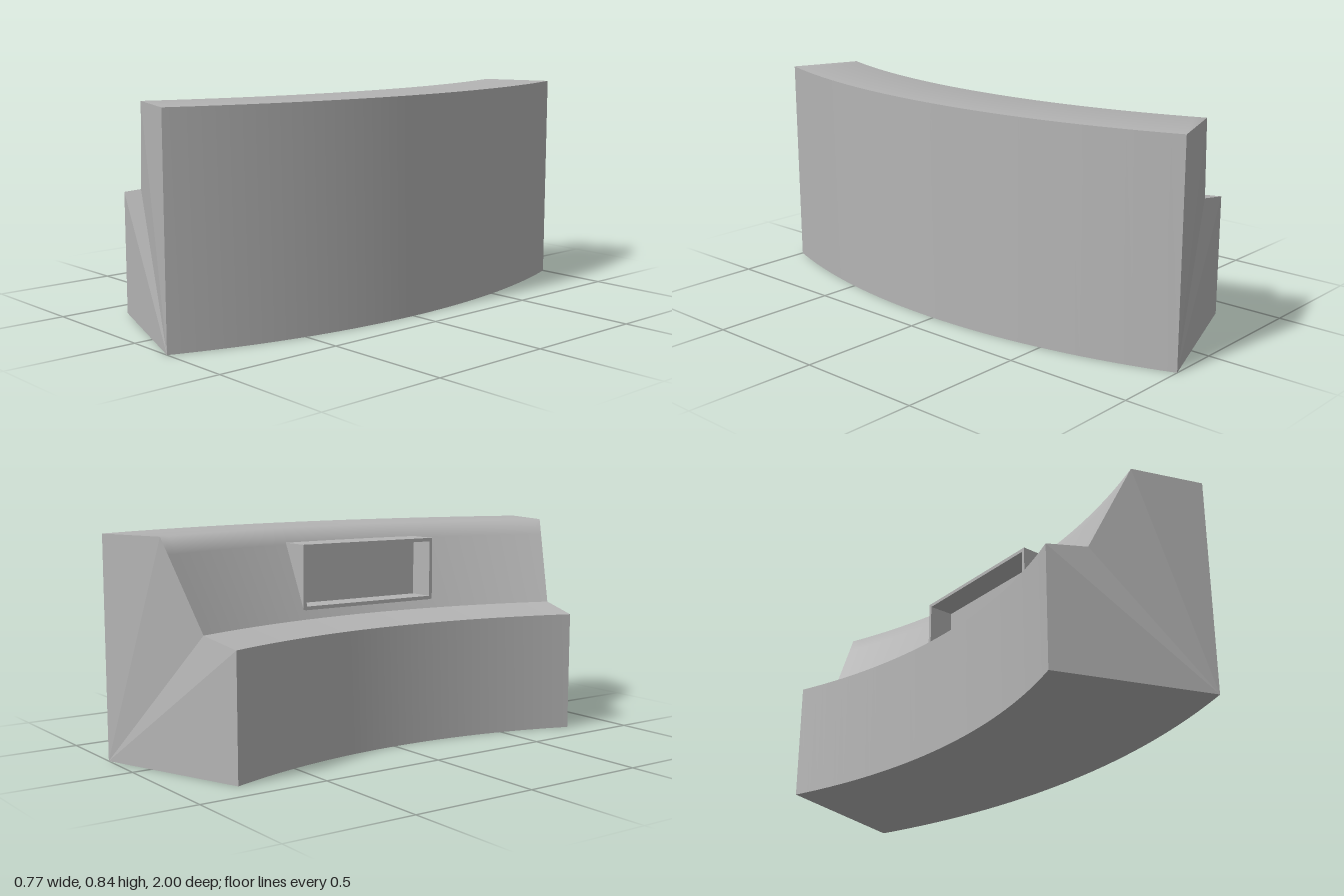
import * as THREE from 'three';

const CX = -2.41;          // x of the common arc centre
const HOLE_Z = 0.303;      // half width of the opening in the sloped face

// Cross-section corners: r = radius, y = height, z = half length at the ends
const P = {
  innerBottom: { r: 2.175, y: 0, z: 0.787 },
  innerTop: { r: 2.175, y: 0.472, z: 0.787 },
  bend: { r: 2.343, y: 0.505, z: 0.82 },
  ridge: { r: 2.509, y: 0.842, z: 0.905 },
  outerTop: { r: 2.795, y: 0.842, z: 1 },
  outerBottom: { r: 2.795, y: 0, z: 1 },
};

// Point on the sloped face at a given height
function slopeAt(y) {
  const t = (y - P.bend.y) / (P.ridge.y - P.bend.y);
  const mix = (k) => P.bend[k] + (P.ridge[k] - P.bend[k]) * t;
  return { r: mix('r'), y, z: mix('z') };
}

// Angles along one arc, with exact stops at the opening edges
const SIDE = 14, MID = 12;
function angles(p) {
  const end = Math.asin(p.z / p.r), hole = Math.asin(HOLE_Z / p.r);
  const list = [];
  for (let i = 0; i < SIDE; i++) list.push(-end + (end - hole) * i / SIDE);
  for (let i = 0; i < MID; i++) list.push(-hole + 2 * hole * i / MID);
  for (let i = 0; i <= SIDE; i++) list.push(hole + (end - hole) * i / SIDE);
  return list;
}

// Smooth curved surface through successive arcs; holeRow leaves an opening
function strip(rows, holeRow = -1) {
  const pos = [], index = [], n = SIDE * 2 + MID + 1;
  for (const p of rows) {
    for (const a of angles(p)) pos.push(CX + p.r * Math.cos(a), p.y, p.r * Math.sin(a));
  }
  for (let i = 0; i < rows.length - 1; i++) {
    for (let j = 0; j < n - 1; j++) {
      if (i === holeRow && j >= SIDE && j < SIDE + MID) continue;
      const a = i * n + j, c = a + n;
      index.push(a, a + 1, c, a + 1, c + 1, c);
    }
  }
  const g = new THREE.BufferGeometry();
  g.setAttribute('position', new THREE.Float32BufferAttribute(pos, 3));
  g.setIndex(index);
  g.computeVertexNormals();
  return g;
}

// End wall: the cross-section wrapped onto the end of the arcs
function endWall(side) {
  const corners = Object.values(P);
  let g = new THREE.ShapeGeometry(new THREE.Shape(corners.map((p) => new THREE.Vector2(p.r, p.y))));
  const pos = g.attributes.position;
  for (let i = 0; i < pos.count; i++) {
    const r = pos.getX(i), y = pos.getY(i);
    const p = corners.find((c) => Math.abs(c.r - r) + Math.abs(c.y - y) < 1e-4);
    pos.setXYZ(i, CX + Math.sqrt(p.r * p.r - p.z * p.z), y, side * p.z);
  }
  if (side < 0) g.setIndex(Array.from(g.index.array).reverse());
  g = g.toNonIndexed();
  g.computeVertexNormals();
  return g;
}

export function createModel() {
  const group = new THREE.Group();
  const grey = new THREE.MeshStandardMaterial({ color: 0xb4b4b4 });
  grey.name = 'grey';
  const add = (name, geometry, parent = group) => {
    const m = new THREE.Mesh(geometry, grey);
    m.name = name;
    parent.add(m);
    return m;
  };

  // Curved body
  add('innerWall', strip([P.innerBottom, P.innerTop]));
  add('ledge', strip([P.innerTop, P.bend]));
  add('slopeAndTop', strip([P.bend, slopeAt(0.546), slopeAt(0.78), P.ridge, P.outerTop], 1));
  add('outerWall', strip([P.outerTop, P.outerBottom]));
  add('base', strip([P.outerBottom, P.innerBottom]));
  add('leftEnd', endWall(1));
  add('rightEnd', endWall(-1));

  // Hollow box set into the slope, open towards the inner side
  const box = new THREE.Group();
  box.name = 'recessBox';
  group.add(box);
  const x0 = -0.07, x1 = 0.07, y0 = 0.538, y1 = 0.787, half = 0.311, wall = 0.014;
  const rect = (Shape, inset) => new Shape([
    new THREE.Vector2(-half + inset, y0 + inset),
    new THREE.Vector2(half - inset, y0 + inset),
    new THREE.Vector2(half - inset, y1 - inset),
    new THREE.Vector2(-half + inset, y1 - inset),
  ]);
  const outline = rect(THREE.Shape, 0);
  outline.holes.push(rect(THREE.Path, wall));
  const frame = add('recessFrame',
    new THREE.ExtrudeGeometry(outline, { depth: x1 - x0, bevelEnabled: false }), box);
  frame.rotation.y = Math.PI / 2;
  frame.position.x = x0;

  // Back panel of the recess
  const back = add('recessBack',
    new THREE.BoxGeometry(0.01, y1 - y0 - wall, 2 * half - wall), box);
  back.position.set(0.04, (y0 + y1) / 2, 0);

  return group;
}
